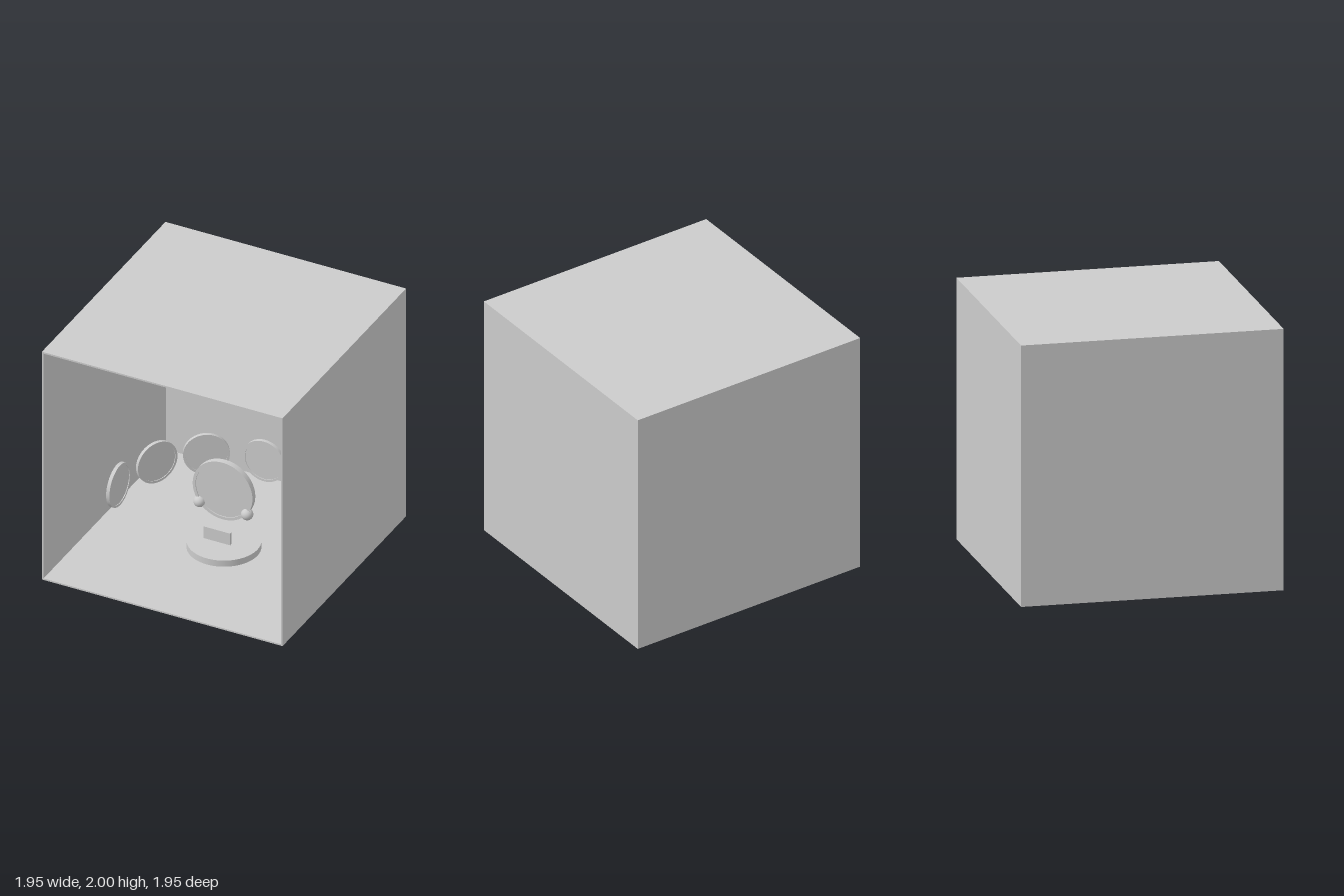
import * as THREE from 'three';
import { toCreasedNormals } from 'three/addons/utils/BufferGeometryUtils.js';

const material = new THREE.MeshStandardMaterial({ color: 0xcccccc });

function add(parent, geometry, name, x = 0, y = 0, z = 0) {
  const mesh = new THREE.Mesh(geometry, material);
  mesh.name = name;
  mesh.position.set(x, y, z);
  parent.add(mesh);
  return mesh;
}

// Round panel facing +z: a raised rim around a slightly sunken face
function roundPanel(radius, rim, thickness, sink) {
  const h = thickness / 2, inner = radius - rim;
  const profile = [
    [0, -h], [radius, -h], [radius, h], [inner, h], [inner, h - sink], [0, h - sink],
  ].map(([r, y]) => new THREE.Vector2(r, y));
  const geometry = new THREE.LatheGeometry(profile, 64);
  geometry.rotateX(Math.PI / 2);
  return toCreasedNormals(geometry, 0.6);
}

export function createModel() {
  const model = new THREE.Group();
  model.name = 'displayRoom';

  // Room: thin walls, open at the front
  const half = 0.977, bottom = 0.045, top = 2, wall = 0.013;
  const height = top - bottom, midY = (top + bottom) / 2;
  const room = new THREE.Group();
  room.name = 'room';
  model.add(room);
  for (const s of [-1, 1]) {
    add(room, new THREE.BoxGeometry(wall, height, half * 2),
      s > 0 ? 'leftWall' : 'rightWall', s * (half - wall / 2), midY, 0);
  }
  const inside = 2 * (half - wall);
  add(room, new THREE.BoxGeometry(inside, wall, half * 2), 'floor', 0, bottom + wall / 2, 0);
  add(room, new THREE.BoxGeometry(inside, wall, half * 2), 'ceiling', 0, top - wall / 2, 0);
  add(room, new THREE.BoxGeometry(inside, height - 2 * wall, wall), 'backWall', 0, midY, -half + wall / 2);

  // Round pedestal passing through the floor
  add(model, new THREE.CylinderGeometry(0.272, 0.272, 0.11, 64), 'pedestal', 0, 0.055, 0);

  // Floating plate above the pedestal
  add(model, new THREE.BoxGeometry(0.216, 0.1, 0.018), 'plate', -0.002, 0.21, 0.1);

  // Main round panel with two knobs on its lower rim
  add(model, roundPanel(0.243, 0.023, 0.045, 0.008), 'mainPanel', 0, 0.546, 0);
  for (const s of [-1, 1]) {
    add(model, new THREE.SphereGeometry(0.045, 32, 20),
      s > 0 ? 'leftKnob' : 'rightKnob', s * 0.193, 0.397, 0.01);
  }

  // Arc of small round panels turned toward the middle: x, z, yaw in degrees
  const arc = new THREE.Group();
  arc.name = 'panelArc';
  model.add(arc);
  const panel = roundPanel(0.17, 0.018, 0.027, 0.006);
  [
    [-0.79, 0.13, 90], [-0.685, -0.27, 60], [-0.415, -0.53, 30], [0, -0.64, 0],
    [0.4, -0.53, -30], [0.66, -0.27, -61], [0.753, 0.13, -87],
  ].forEach(([x, z, yaw], i) => {
    add(arc, panel, `sidePanel${i + 1}`, x, 0.43, z).rotation.y = THREE.MathUtils.degToRad(yaw);
  });

  return model;
}
